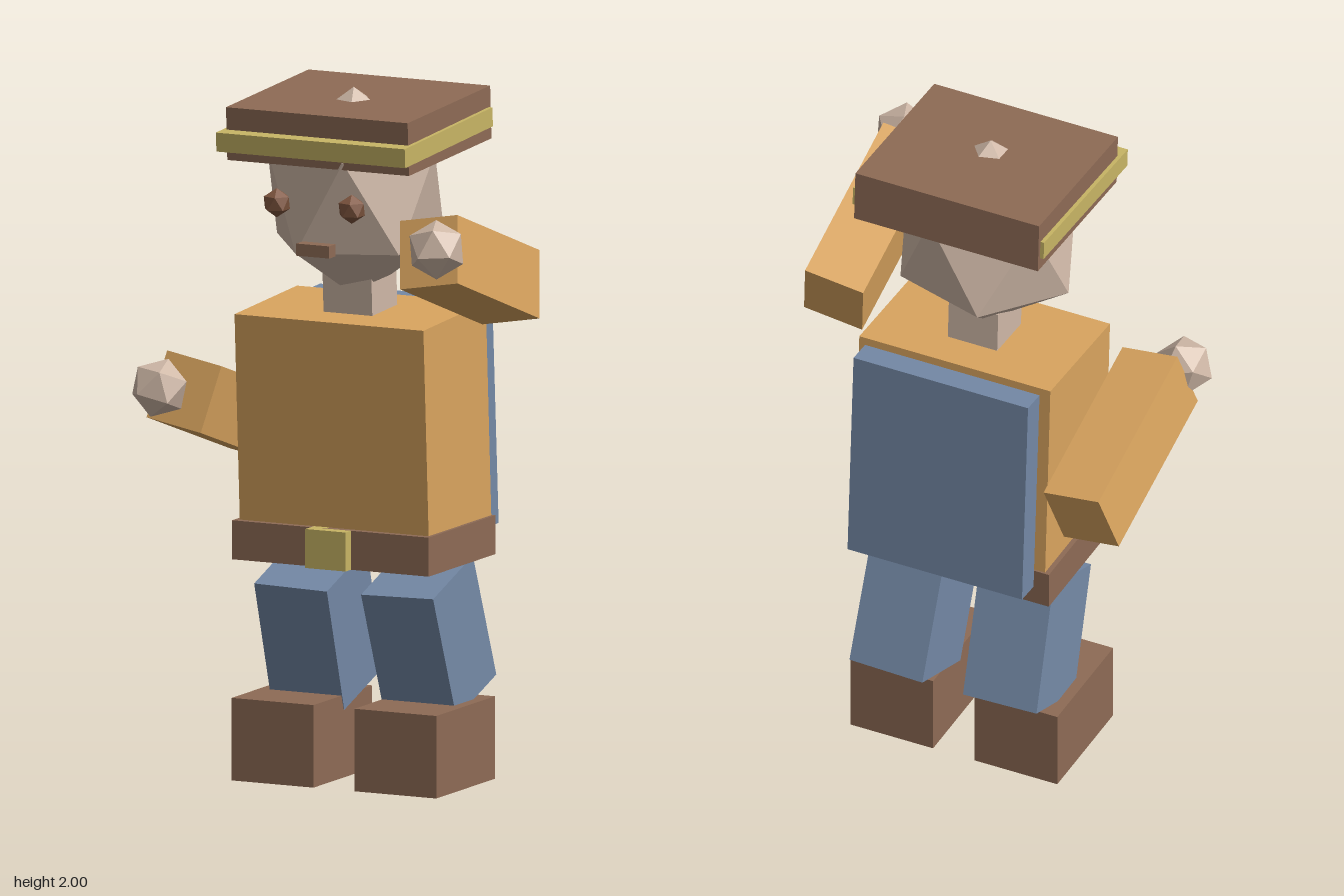
import * as THREE from 'three';

const flat = (name, color) => {
  const m = new THREE.MeshStandardMaterial({ color, flatShading: true });
  m.name = name;
  return m;
};

export function createModel() {
  const model = new THREE.Group();
  model.name = 'blockFigure';

  const brown = flat('leatherBrown', 0x8e6b55);
  const dark = flat('eyeBrown', 0x80563f);
  const gold = flat('jacketGold', 0xdaa55f);
  const yellow = flat('trimYellow', 0xc8b565);
  const blue = flat('clothBlue', 0x7489a6);
  const skin = flat('skin', 0xcfb8a7);

  const add = (name, geometry, material, pos, rot = [0, 0, 0]) => {
    const mesh = new THREE.Mesh(geometry, material);
    mesh.name = name;
    mesh.position.set(...pos);
    mesh.rotation.set(...rot);
    model.add(mesh);
    return mesh;
  };
  const box = (name, size, material, pos, rot) =>
    add(name, new THREE.BoxGeometry(...size), material, pos, rot);

  // Icosahedron standing on one corner, with an upper-ring corner facing +x
  const ball = (name, radii, material, pos, rot) => {
    const g = new THREE.IcosahedronGeometry(1, 0);
    g.rotateX(-Math.atan((1 + Math.sqrt(5)) / 2));
    g.rotateY(Math.PI / 2);
    g.scale(...radii);
    return add(name, g, material, pos, rot);
  };

  // Feet, legs and eyes in pairs
  for (const [side, s] of [['left', 1], ['right', -1]]) {
    box(side + 'Foot', [0.26, 0.237, 0.363], brown, [s * 0.195 - 0.003, 0.1185, -0.111]);
    box(side + 'Leg', [0.23, 0.382, 0.262], blue, [s * 0.174 - 0.003, 0.42, -0.177], [0.338, 0, s * 0.025]);
    ball(side + 'Eye', [0.042, 0.042, 0.042], dark, [s * 0.119 - 0.002, 1.695, 0.195]);
  }

  // Belt, torso and back panel
  box('belt', [0.625, 0.112, 0.415], brown, [-0.002, 0.696, -0.112]);
  box('buckle', [0.128, 0.112, 0.06], yellow, [-0.001, 0.696, 0.098]);
  box('torso', [0.6, 0.66, 0.388], gold, [0, 1.028, -0.104], [0.055, 0, 0]);
  box('backPanel', [0.548, 0.65, 0.075], blue, [0, 1.035, -0.353], [0.06, 0, 0]);

  // Arms with ball hands
  const armSize = [0.18, 0.198, 0.54];
  box('leftArm', armSize, gold, [0.405, 1.518, 0.025], [-0.34, 0, 0.175]);
  box('rightArm', armSize, gold, [-0.406, 1.048, -0.042], [-0.318, 0, -0.175]);
  ball('leftHand', [0.086, 0.086, 0.086], skin, [0.455, 1.627, 0.33], [-0.34, 0, 0.175]);
  ball('rightHand', [0.086, 0.086, 0.086], skin, [-0.459, 1.147, 0.263], [-0.318, 0, -0.175]);

  // Neck, faceted head and mouth
  box('neck', [0.155, 0.16, 0.155], skin, [0, 1.4, -0.085], [0.055, 0, 0]);
  ball('head', [0.284, 0.306, 0.27], skin, [0, 1.694, -0.06], [0.045, 0, 0]);
  box('mouth', [0.105, 0.035, 0.04], brown, [-0.002, 1.567, 0.185]);

  // Flat cap with its band
  box('cap', [0.577, 0.153, 0.513], brown, [-0.001, 1.891, -0.079], [0.055, 0, 0]);
  box('capBand', [0.6, 0.055, 0.545], yellow, [-0.001, 1.876, -0.052], [0.065, 0, 0]);

  return model;
}
